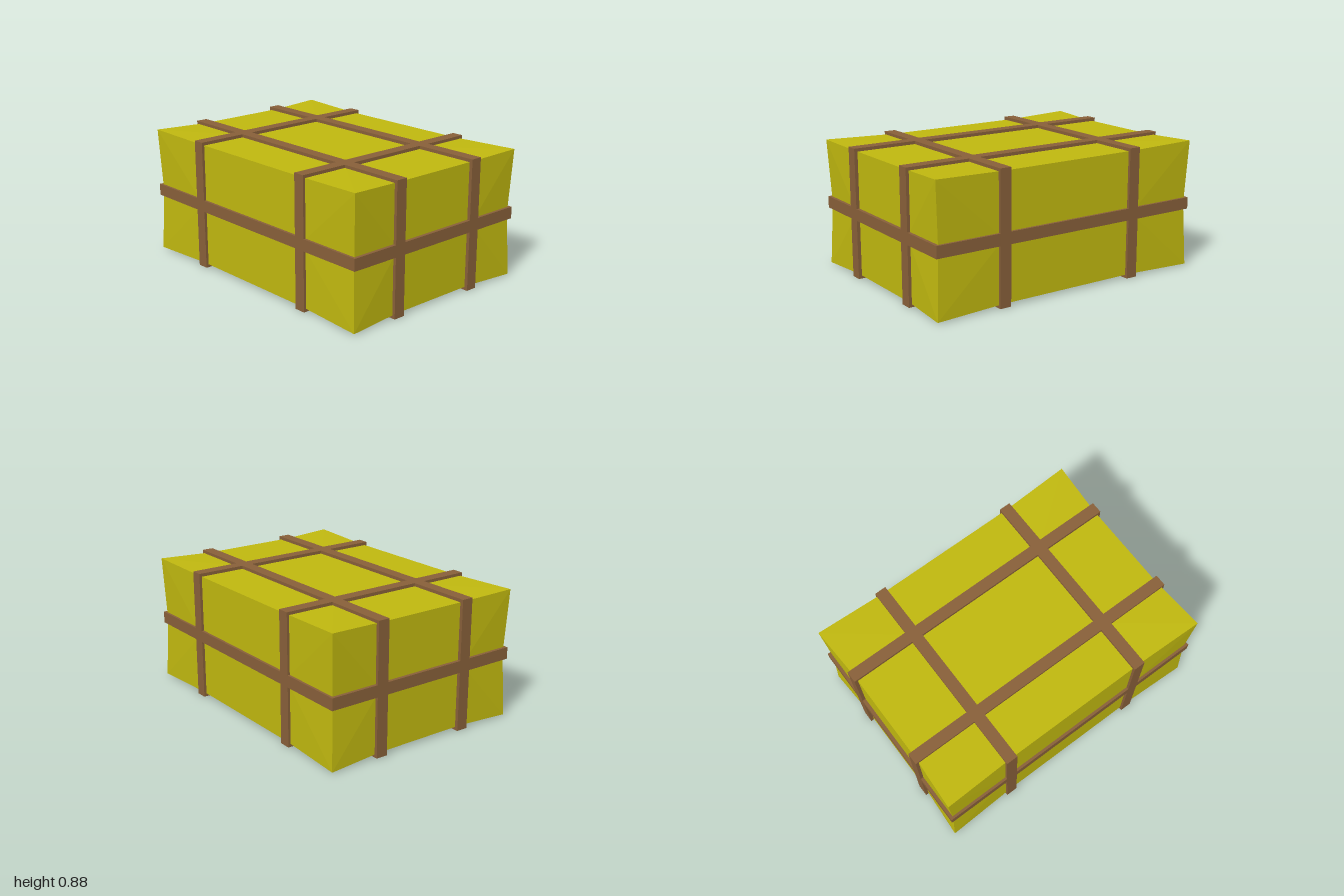
import * as THREE from 'three';

const HALF = [1, 0.4425, 0.715]; // outer half sizes of the strapped parcel
const STRAP_W = 0.08;

// Lattice of the soft body: lines run under the straps, where it is squeezed in
const LINES = [
  [-0.977, -0.51, 0.51, 0.977],
  [-0.421, 0, 0.421],
  [-0.697, -0.335, 0.335, 0.697],
];
const CORNER = [0.998, 0.435, 0.713]; // the eight corners bulge outwards

function latticePoint(idx) {
  const isCorner = idx.every((i, a) => i === 0 || i === LINES[a].length - 1);
  return idx.map((i, a) => (isCorner ? Math.sign(LINES[a][i]) * CORNER[a] : LINES[a][i]));
}

function bodyGeometry() {
  const pos = [];
  for (let a = 0; a < 3; a++) {
    const u = (a + 1) % 3, v = (a + 2) % 3;
    for (const side of [0, LINES[a].length - 1]) {
      const point = (i, j) => {
        const idx = [];
        idx[a] = side; idx[u] = i; idx[v] = j;
        return latticePoint(idx);
      };
      const nu = LINES[u].length - 1, nv = LINES[v].length - 1;
      for (let i = 0; i < nu; i++) {
        for (let j = 0; j < nv; j++) {
          let q = [point(i, j), point(i + 1, j), point(i + 1, j + 1), point(i, j + 1)];
          // crease each cell from the bulging corner towards the face centre
          if ((i < nu / 2 - 0.5) !== (j < nv / 2 - 0.5)) q = [q[1], q[2], q[3], q[0]];
          if (side === 0) q = [q[0], q[3], q[2], q[1]];
          pos.push(...q[0], ...q[1], ...q[2], ...q[0], ...q[2], ...q[3]);
        }
      }
    }
  }
  const g = new THREE.BufferGeometry();
  g.setAttribute('position', new THREE.Float32BufferAttribute(pos, 3));
  g.computeVertexNormals();
  return g;
}

// Rectangular band in the XY plane, centred on z = 0
function strapGeometry(hw, hh) {
  const t = 0.045;
  const rect = (P, w, h) => new P([[-w, -h], [w, -h], [w, h], [-w, h]].map(p => new THREE.Vector2(...p)));
  const shape = rect(THREE.Shape, hw, hh);
  shape.holes.push(rect(THREE.Path, hw - t, hh - t));
  return new THREE.ExtrudeGeometry(shape, { depth: STRAP_W, bevelEnabled: false }).translate(0, 0, -STRAP_W / 2);
}

export function createModel() {
  const model = new THREE.Group();
  model.name = 'strappedParcel';
  const wrapMat = new THREE.MeshStandardMaterial({ color: 0xbfb70f, flatShading: true });
  const strapMat = new THREE.MeshStandardMaterial({ color: 0x875f39, flatShading: true });
  const add = (name, geometry, material) => {
    const mesh = new THREE.Mesh(geometry, material);
    mesh.name = name;
    mesh.position.y = HALF[1];
    model.add(mesh);
    return mesh;
  };
  const [hx, hy, hz] = HALF;

  add('parcelBody', bodyGeometry(), wrapMat);

  // Two straps around the length, two across it, one level around the sides
  for (const s of [-1, 1]) {
    const side = s > 0;
    add(side ? 'frontLengthStrap' : 'backLengthStrap', strapGeometry(hx, hy), strapMat).position.z = s * 0.335;
    const cross = add(side ? 'leftCrossStrap' : 'rightCrossStrap', strapGeometry(hz, hy), strapMat);
    cross.rotation.y = Math.PI / 2;
    cross.position.x = s * 0.51;
  }
  add('levelStrap', strapGeometry(hx, hz), strapMat).rotation.x = Math.PI / 2;
  return model;
}
